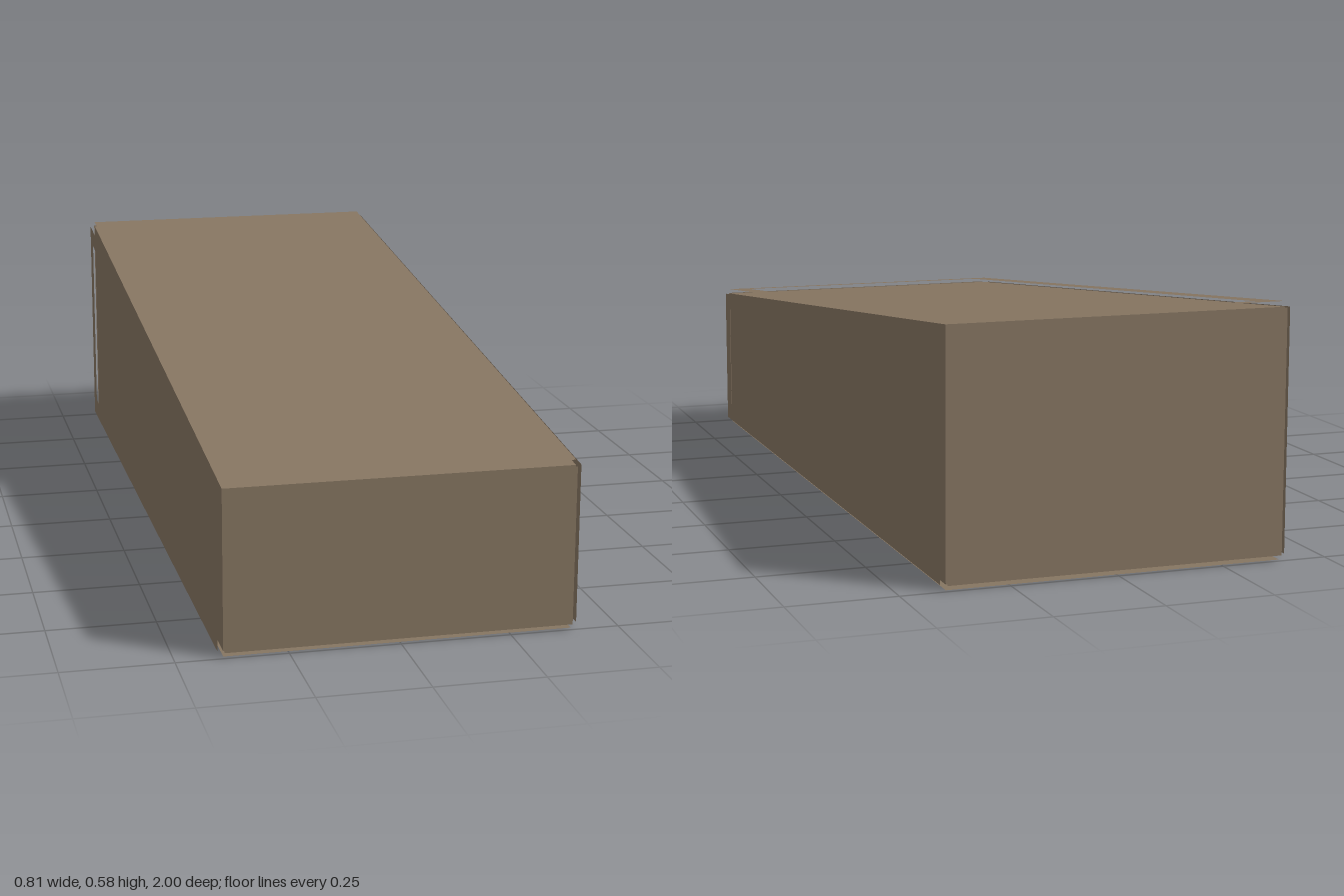
import * as THREE from 'three';

const HALF_W = 0.393, HALF_L = 0.9875; // body half width and half length
const BASE = 0.0125, LOW = 0.378, HIGH = 0.571; // body bottom, front top, back top
const GAP = 0.0125, BORDER = 0.048; // frame offset and frame width

function polygon(points) {
  return points.map(([x, y]) => new THREE.Vector2(x, y));
}

function rect(w, y0, y1) {
  return [[-w, y0], [w, y0], [w, y1], [-w, y1]];
}

export function createModel() {
  const model = new THREE.Group();
  model.name = 'wedgeBlock';
  const brown = new THREE.MeshStandardMaterial({ color: 0x867561, side: THREE.DoubleSide });
  brown.name = 'brown';

  // Solid wedge body: side profile swept across the width
  const profile = new THREE.Shape(polygon([
    [-HALF_L, BASE], [HALF_L, BASE], [HALF_L, LOW], [-HALF_L, HIGH],
  ]));
  const bodyGeometry = new THREE.ExtrudeGeometry(profile, { depth: HALF_W * 2, bevelEnabled: false });
  bodyGeometry.translate(0, 0, -HALF_W);
  bodyGeometry.rotateY(-Math.PI / 2);
  const body = new THREE.Mesh(bodyGeometry, brown);
  body.name = 'body';
  model.add(body);

  // Flat frame floating just off one face
  function addFrame(name, outer, inner, position, rx = 0, ry = 0) {
    const shape = new THREE.Shape(polygon(outer));
    shape.holes.push(new THREE.Path(polygon(inner)));
    const frame = new THREE.Mesh(new THREE.ShapeGeometry(shape), brown);
    frame.name = name;
    frame.position.set(...position);
    frame.rotation.set(rx, ry, 0);
    model.add(frame);
  }

  // Front and back frames
  const inW = HALF_W - BORDER;
  addFrame('frontFrame', rect(HALF_W, BASE, LOW), rect(inW, BASE + BORDER, LOW - BORDER),
    [0, 0, HALF_L + GAP]);
  addFrame('backFrame', rect(HALF_W, BASE, HIGH), rect(inW, BASE + BORDER, HIGH - BORDER),
    [0, 0, -HALF_L - GAP], 0, Math.PI);

  // Left and right frames, mirrored
  const inL = HALF_L - BORDER;
  for (const s of [1, -1]) {
    addFrame(s > 0 ? 'leftFrame' : 'rightFrame',
      [[-s * HALF_L, LOW], [-s * HALF_L, BASE], [s * HALF_L, BASE], [s * HALF_L, HIGH]],
      [[-s * inL, 0.338], [-s * inL, BASE + BORDER], [s * inL, BASE + BORDER], [s * inL, 0.522]],
      [s * (HALF_W + GAP), 0, 0], 0, s * Math.PI / 2);
  }

  // Sloping top frame and flat bottom frame
  const slope = Math.atan2(HIGH - LOW, HALF_L * 2);
  const halfTop = HALF_L / Math.cos(slope);
  addFrame('topFrame', rect(HALF_W, -halfTop, halfTop), rect(inW, BORDER - halfTop, halfTop - BORDER),
    [0, (LOW + HIGH) / 2 + GAP * Math.cos(slope), GAP * Math.sin(slope)], slope - Math.PI / 2);
  addFrame('bottomFrame', rect(HALF_W, -HALF_L, HALF_L), rect(inW, -inL, inL),
    [0, 0, 0], Math.PI / 2);

  return model;
}
